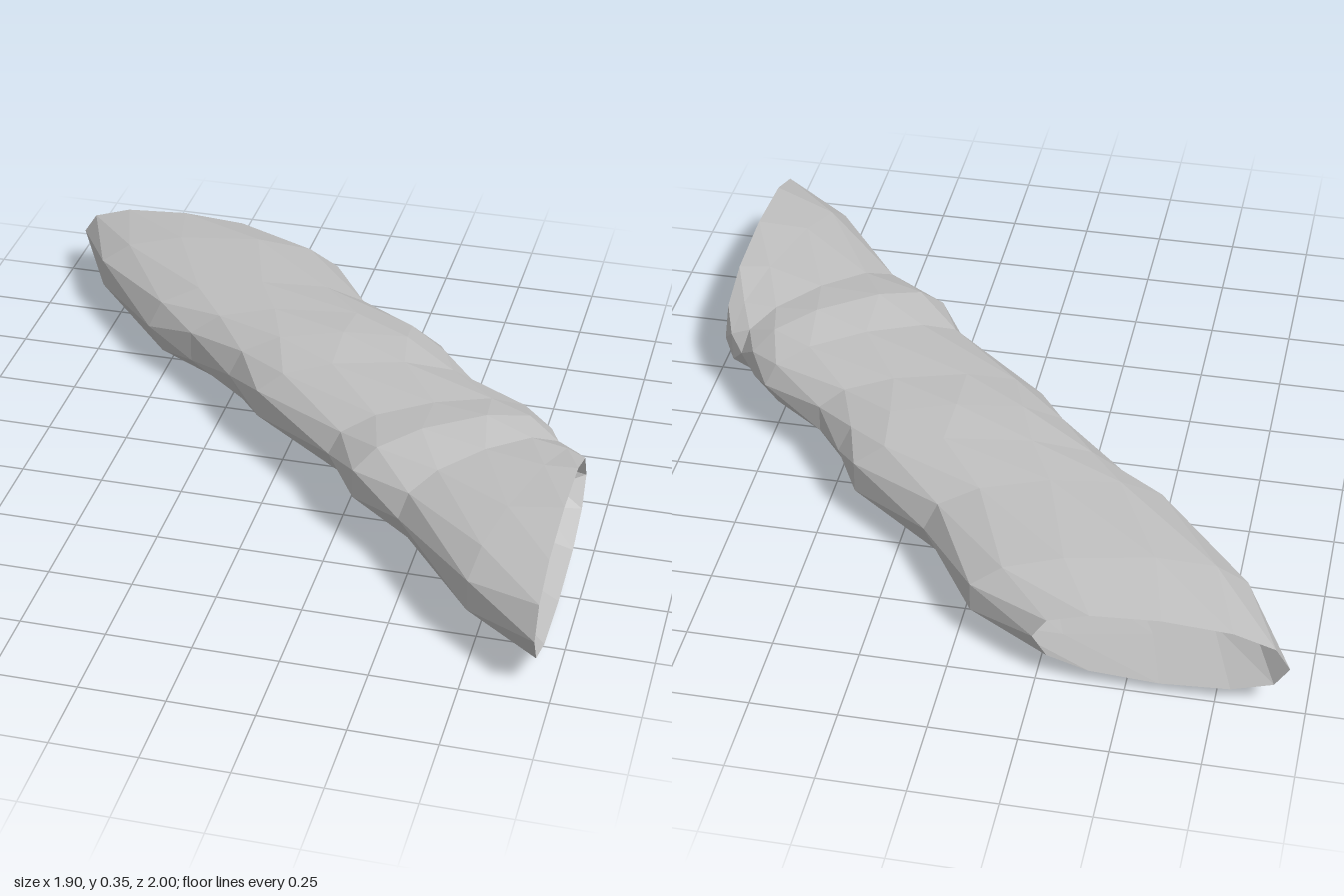
import * as THREE from 'three';

const SIDES = 12;

// Point on a slightly squared oval spanning left edge to right edge and low to high
function ovalPoint([lx, lz, rx, rz, low, high], angle) {
  const soft = (v) => Math.sign(v) * Math.pow(Math.abs(v), 0.85);
  const c = soft(Math.cos(angle)), s = soft(Math.sin(angle));
  return [
    (lx + rx) / 2 + ((lx - rx) / 2) * c,
    (low + high) / 2 + ((high - low) / 2) * s,
    (lz + rz) / 2 + ((lz - rz) / 2) * c,
  ];
}

// Skin of triangles through the sections; odd rings are turned half a step
function loft(sections, closeEnd = false) {
  const positions = [];
  const point = (i, j) =>
    ovalPoint(sections[i], ((j + (i % 2) * 0.5) / SIDES) * Math.PI * 2);
  const tri = (a, b, c) => positions.push(...a, ...b, ...c);
  for (let i = 0; i < sections.length - 1; i++) {
    for (let j = 0; j < SIDES; j++) {
      const a = point(i, j), b = point(i + 1, j);
      const c = point(i, j + 1), d = point(i + 1, j + 1);
      if (i % 2 === 0) { tri(a, b, c); tri(c, b, d); }
      else { tri(a, d, c); tri(a, b, d); }
    }
  }
  if (closeEnd) {
    const last = sections.length - 1;
    const [lx, lz, rx, rz, low, high] = sections[last];
    const centre = [(lx + rx) / 2, (low + high) / 2, (lz + rz) / 2];
    for (let j = 0; j < SIDES; j++) tri(point(last, j), centre, point(last, j + 1));
  }
  const geometry = new THREE.BufferGeometry();
  geometry.setAttribute('position', new THREE.Float32BufferAttribute(positions, 3));
  geometry.computeVertexNormals();
  return geometry;
}

export function createModel() {
  const grey = new THREE.MeshStandardMaterial({
    color: 0xc0c0c0, flatShading: true, side: THREE.DoubleSide,
  });
  grey.name = 'pale grey';
  const model = new THREE.Group();
  const add = (name, geometry) => {
    const mesh = new THREE.Mesh(geometry, grey);
    mesh.name = name;
    model.add(mesh);
    return mesh;
  };

  // Bulging hollow tube, cut square to z at one end and square to x at the other
  // Each section: left x, left z, right x, right z, low y, high y
  add('outerTube', loft([
    [-0.95, -1.0, -0.24, -1.0, 0.04, 0.265],
    [-0.81, -0.72, -0.03, -0.88, 0.015, 0.3],
    [-0.55, -0.42, 0.15, -0.61, 0.0, 0.315],
    [-0.39, -0.31, 0.41, -0.43, 0.012, 0.325],
    [-0.21, -0.15, 0.47, -0.33, 0.03, 0.335],
    [-0.09, 0.0, 0.57, -0.2, 0.05, 0.325],
    [0.2, 0.24, 0.76, -0.08, 0.075, 0.325],
    [0.3, 0.39, 0.83, 0.01, 0.06, 0.347],
    [0.47, 0.51, 0.88, 0.08, 0.055, 0.325],
    [0.73, 0.84, 0.92, 0.1, 0.04, 0.34],
    [0.95, 1.0, 0.95, 0.15, 0.035, 0.35],
  ]));

  // Recess that narrows inward from the open end
  add('innerRecess', loft([
    [0.95, 1.0, 0.95, 0.15, 0.035, 0.35],
    [0.66, 0.66, 0.87, 0.19, 0.1, 0.31],
    [0.57, 0.53, 0.8, 0.18, 0.13, 0.28],
    [0.42, 0.3, 0.6, 0.1, 0.16, 0.26],
  ], true));

  // Small core stub standing in the recess
  const stub = add('coreStub', new THREE.CylinderGeometry(0.035, 0.06, 0.2, 6));
  stub.position.set(0.48, 0.215, 0.23);
  stub.quaternion.setFromUnitVectors(
    new THREE.Vector3(0, 1, 0), new THREE.Vector3(1, 0, 1).normalize());

  return model;
}
